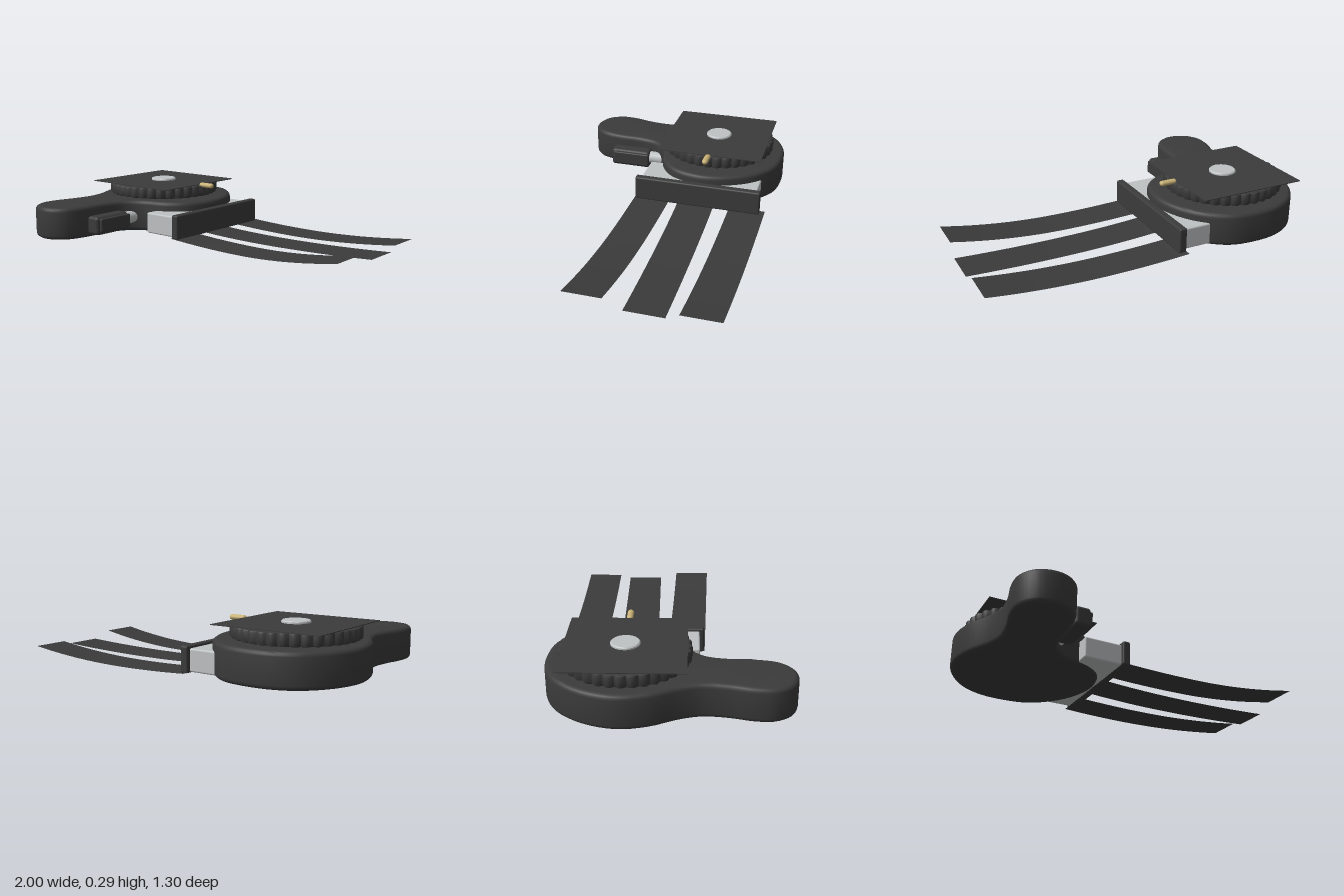
import * as THREE from 'three';
import { toCreasedNormals } from 'three/addons/utils/BufferGeometryUtils.js';
import { RoundedBoxGeometry } from 'three/addons/geometries/RoundedBoxGeometry.js';

const dark = new THREE.MeshStandardMaterial({ color: 0x3b3b3b });
dark.name = 'charcoal';
dark.side = THREE.DoubleSide;
const silver = new THREE.MeshStandardMaterial({ color: 0xbfc2c3 });
silver.name = 'silver';
const gold = new THREE.MeshStandardMaterial({ color: 0xc9b276 });
gold.name = 'brass';

const DIAL_X = -0.6, DIAL_Z = -0.232;

export function createModel() {
  const model = new THREE.Group();

  const add = (name, geometry, material, x = 0, y = 0, z = 0) => {
    const mesh = new THREE.Mesh(geometry, material);
    mesh.name = name;
    mesh.position.set(x, y, z);
    model.add(mesh);
    return mesh;
  };

  // Flat slab from an outline in x and z, with rounded rims, between two heights
  const slab = (points, bottom, top, bevel, segments = 4) => {
    const g = new THREE.ExtrudeGeometry(new THREE.Shape(points), {
      depth: top - bottom - 2 * bevel, bevelThickness: bevel, bevelSize: bevel,
      bevelOffset: -bevel, bevelSegments: segments,
    });
    g.rotateX(Math.PI / 2);
    g.translate(0, top - bevel, 0);
    return toCreasedNormals(g, 0.6);
  };

  const box = (name, mat, x0, x1, y0, y1, z0, z1, r) =>
    add(name, new RoundedBoxGeometry(x1 - x0, y1 - y0, z1 - z0, 3, r), mat,
      (x0 + x1) / 2, (y0 + y1) / 2, (z0 + z1) / 2);

  // Round body flowing into a short grip
  const outline = [
    [-0.56, -0.65], [-0.4, -0.62], [-0.25, -0.49], [-0.17, -0.32], [-0.16, -0.18],
    [-0.21, -0.03], [-0.32, 0.06], [-0.46, 0.1], [-0.55, 0.18], [-0.58, 0.3],
    [-0.585, 0.43], [-0.615, 0.56], [-0.68, 0.625], [-0.76, 0.645], [-0.86, 0.61],
    [-0.915, 0.52], [-0.915, 0.42], [-0.885, 0.29], [-0.875, 0.16], [-0.905, 0.05],
    [-0.975, -0.1], [-1, -0.26], [-0.95, -0.43], [-0.84, -0.57], [-0.71, -0.635],
  ].map(([x, z]) => new THREE.Vector3(x, z, 0));
  const bodyCurve = new THREE.CatmullRomCurve3(outline, true);
  const bodyPoints = bodyCurve.getPoints(100).slice(0, -1).map(p => new THREE.Vector2(p.x, p.y));
  add('body', slab(bodyPoints, 0.01, 0.2, 0.025), dark);

  // Scalloped dial on a short hub
  const dialPoints = [];
  const steps = 216, ridges = 36;
  for (let i = 0; i < steps; i++) {
    const a = (i / steps) * Math.PI * 2;
    const r = 0.332 + 0.014 * Math.abs(Math.cos(a * ridges / 2));
    dialPoints.push(new THREE.Vector2(r * Math.cos(a), r * Math.sin(a)));
  }
  add('dial', slab(dialPoints, 0.208, 0.278, 0.012, 2), dark, DIAL_X, 0, DIAL_Z);
  add('dialHub', new THREE.CylinderGeometry(0.2, 0.2, 0.03, 48), dark, DIAL_X, 0.205, DIAL_Z);

  // Square face plate, centre cap and pointer
  add('facePlate', new THREE.BoxGeometry(0.64, 0.004, 0.64), dark, DIAL_X, 0.281, DIAL_Z);
  const cap = new THREE.LatheGeometry([[0, 0], [0.078, 0], [0.078, 0.01], [0.072, 0.016], [0, 0.016]]
    .map(([r, y]) => new THREE.Vector2(r, y)), 40);
  add('centreCap', toCreasedNormals(cap, 0.5), silver, DIAL_X, 0.281, DIAL_Z);
  const pin = new THREE.CapsuleGeometry(0.015, 0.075, 6, 16);
  pin.rotateZ(Math.PI / 2);
  add('pointer', pin, gold, -0.232, 0.279, DIAL_Z).scale.z = 1.2;

  // Bracket and upright plate that carry the straps
  box('bracket', silver, -0.38, -0.14, 0.02, 0.145, -0.56, 0.155, 0.01);
  box('strapPlate', dark, -0.155, -0.11, 0.015, 0.16, -0.585, 0.18, 0.01);

  // Three thin curved straps: near and far edges in z, end height
  const straps = [
    { start: [-0.615, -0.4], end: [-0.605, -0.39], lift: 0.047 },
    { start: [-0.305, -0.085], end: [-0.325, -0.108], lift: 0.024 },
    { start: [-0.03, 0.185], end: [0.002, 0.218], lift: 0.066 },
  ];
  straps.forEach(({ start, end, lift }, n) => {
    const g = new THREE.PlaneGeometry(1, 1, 28, 1);
    g.rotateX(-Math.PI / 2);
    const p = g.attributes.position;
    for (let i = 0; i < p.count; i++) {
      const t = p.getX(i) + 0.5;
      const side = p.getZ(i) + 0.5;
      const near = THREE.MathUtils.lerp(start[0], end[0], t);
      const far = THREE.MathUtils.lerp(start[1], end[1], t);
      const x = -0.155 + t * (n === 1 ? 1.155 : 1.143);
      const dip = 0.42;
      const y = t < dip
        ? 0.004 + 0.016 * ((dip - t) / dip) ** 2
        : 0.004 + (lift - 0.004) * ((t - dip) / (1 - dip)) ** 2;
      p.setXYZ(i, x, y, THREE.MathUtils.lerp(near, far, side));
    }
    g.computeVertexNormals();
    add('strap' + (n + 1), g, dark);
  });

  // Side button: silver stem, rounded grip and a thin outer lip
  const stem = new THREE.CylinderGeometry(0.038, 0.038, 0.2, 24);
  stem.rotateX(Math.PI / 2);
  add('buttonStem', stem, silver, -0.53, 0.098, 0.14);
  box('buttonGrip', dark, -0.575, -0.485, 0.035, 0.145, 0.205, 0.46, 0.02);
  box('buttonLip', dark, -0.5, -0.468, 0.055, 0.135, 0.205, 0.44, 0.008);

  return model;
}
